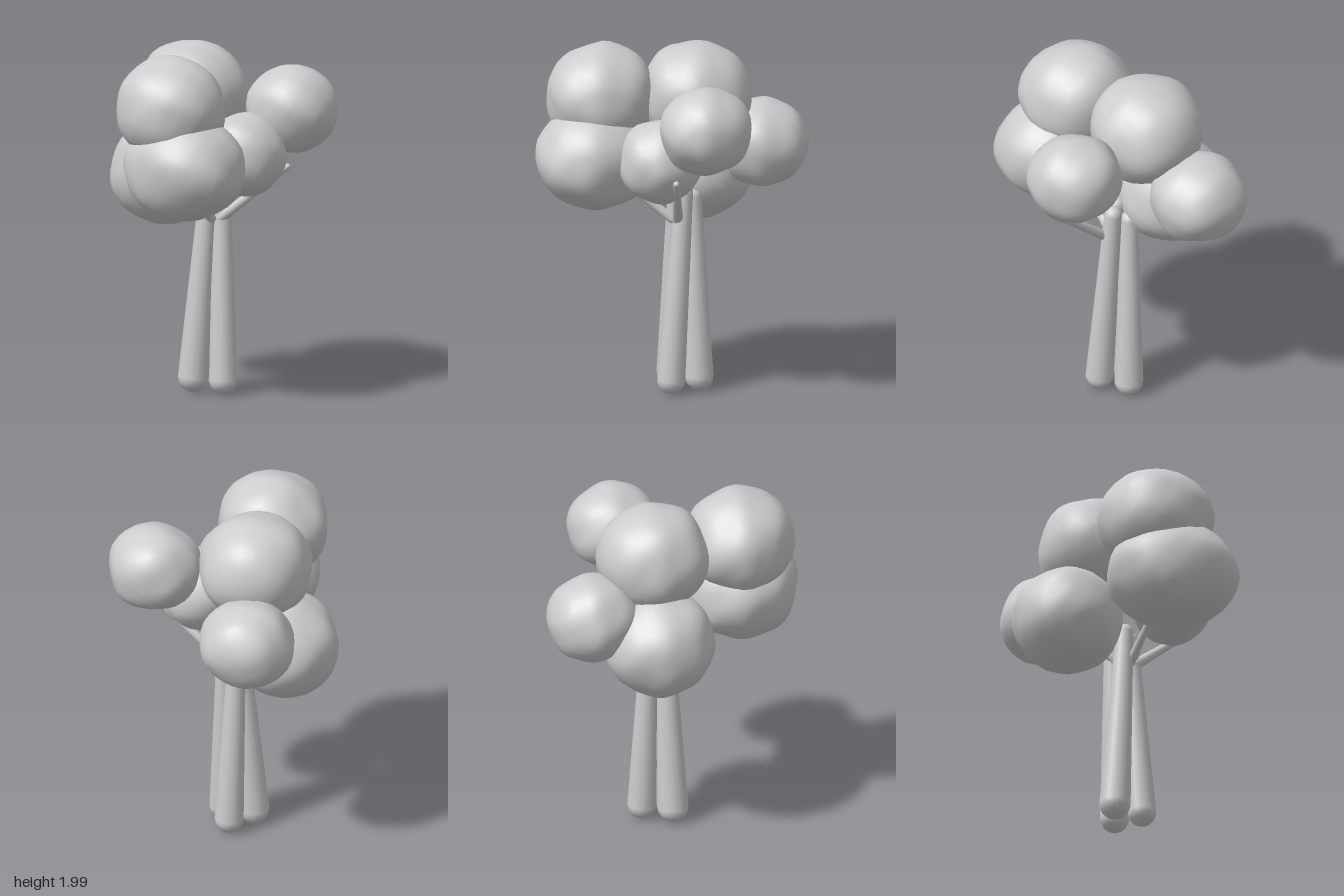
import * as THREE from 'three';
import { mergeVertices } from 'three/addons/utils/BufferGeometryUtils.js';

const paleGrey = new THREE.MeshStandardMaterial({ color: 0xcccccc });
paleGrey.name = 'paleGrey';

// Lumpy ball: a sphere whose surface is pushed in and out by a few soft waves
function foliage(name, center, radii, seed) {
  let geo = new THREE.IcosahedronGeometry(1, 7);
  geo.deleteAttribute('uv');
  geo.deleteAttribute('normal');
  geo = mergeVertices(geo, 1e-4);
  const pos = geo.attributes.position;
  const v = new THREE.Vector3();
  for (let i = 0; i < pos.count; i++) {
    v.fromBufferAttribute(pos, i).normalize();
    const { x, y, z } = v;
    const lump =
      0.014 * Math.sin(5 * x + 3 * y + seed) +
      0.014 * Math.sin(6 * y - 4 * z + seed * 2.3) +
      0.012 * Math.sin(8 * z + 5 * x + seed * 3.7) +
      0.007 * Math.sin(13 * x - 9 * y + seed) * Math.sin(12 * z + seed);
    v.multiplyScalar(1 + lump);
    pos.setXYZ(i, v.x * radii[0], v.y * radii[1], v.z * radii[2]);
  }
  geo.computeVertexNormals();
  const mesh = new THREE.Mesh(geo, paleGrey);
  mesh.name = name;
  mesh.position.set(...center);
  return mesh;
}

// Tapered limb with rounded ends, running from one point to another
function limb(name, from, to, r0, r1, sides) {
  const a = new THREE.Vector3(...from);
  const dir = new THREE.Vector3(...to).sub(a);
  const len = dir.length();
  const profile = [];
  const steps = 5;
  for (let i = 0; i <= steps; i++) {
    const t = (i / steps) * Math.PI / 2;
    profile.push(new THREE.Vector2(r0 * Math.sin(t), r0 * (1 - Math.cos(t))));
  }
  for (let i = 0; i <= steps; i++) {
    const t = (i / steps) * Math.PI / 2;
    profile.push(new THREE.Vector2(r1 * Math.cos(t), len - r1 + r1 * Math.sin(t)));
  }
  const mesh = new THREE.Mesh(new THREE.LatheGeometry(profile, sides), paleGrey);
  mesh.name = name;
  mesh.position.copy(a);
  mesh.quaternion.setFromUnitVectors(new THREE.Vector3(0, 1, 0), dir.normalize());
  return mesh;
}

export function createModel() {
  const tree = new THREE.Group();
  tree.name = 'tree';

  // Three leaning stems form the trunk
  const trunk = new THREE.Group();
  trunk.name = 'trunk';
  trunk.add(
    limb('frontStem', [-0.03, 0.01, 0.045], [0.03, 1.24, -0.03], 0.088, 0.05, 16),
    limb('rightStem', [0.13, 0.01, -0.055], [0.05, 1.22, -0.1], 0.08, 0.05, 16),
    limb('backStem', [-0.03, 0.01, -0.145], [-0.04, 1.18, -0.09], 0.082, 0.05, 16),
  );
  tree.add(trunk);

  // Thin branches reaching into the crown
  const branches = new THREE.Group();
  branches.name = 'branches';
  branches.add(
    limb('backRightBranch', [0.06, 0.99, -0.06], [0.43, 1.34, -0.3], 0.032, 0.018, 10),
    limb('frontRightBranch', [0.05, 0.99, -0.04], [0.2, 1.22, 0.21], 0.028, 0.018, 10),
    limb('leftBranch', [0, 1.0, -0.06], [-0.16, 1.16, -0.05], 0.028, 0.018, 10),
  );
  tree.add(branches);

  // Crown of seven leaf clumps: centre and radii
  const crown = new THREE.Group();
  crown.name = 'crown';
  const clumps = [
    ['frontTopClump', [0.21, 1.7, 0.365], [0.325, 0.295, 0.305]],
    ['leftTopClump', [-0.145, 1.69, -0.04], [0.315, 0.305, 0.32]],
    ['frontRightClump', [0.3, 1.375, 0.335], [0.37, 0.3, 0.325]],
    ['frontLeftClump', [-0.29, 1.235, 0.045], [0.31, 0.3, 0.31]],
    ['backLeftClump', [-0.405, 1.395, -0.31], [0.272, 0.25, 0.265]],
    ['backRightClump', [0.3, 1.63, -0.41], [0.265, 0.245, 0.26]],
    ['rightClump', [0.285, 1.4, -0.09], [0.235, 0.235, 0.235]],
  ];
  clumps.forEach(([name, center, radii], i) => crown.add(foliage(name, center, radii, 1.7 * i + 0.6)));
  tree.add(crown);

  return tree;
}
